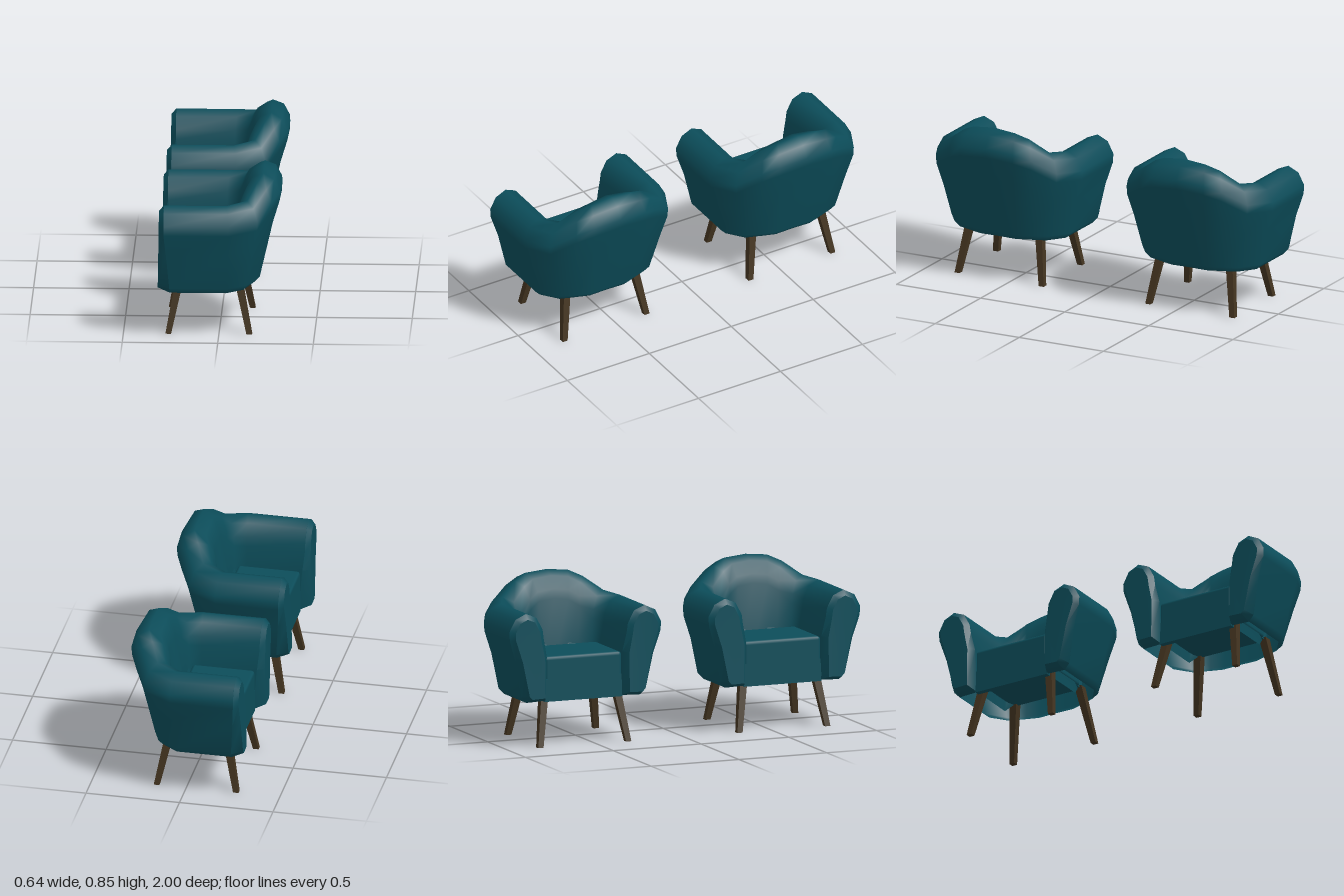
import * as THREE from 'three';
import { toCreasedNormals } from 'three/addons/utils/BufferGeometryUtils.js';
import { RoundedBoxGeometry } from 'three/addons/geometries/RoundedBoxGeometry.js';

const fabric = new THREE.MeshStandardMaterial({ color: 0x0c4d5a, side: THREE.DoubleSide });
fabric.name = 'teal fabric';
const wood = new THREE.MeshStandardMaterial({ color: 0x433420 });
wood.name = 'dark wood';

// Half of the U-shaped path: roll centre, outward direction, bottom and inner offsets, inner end height
const half = [
  { x: -0.285, z: 0.333, y: 0.62, n: [0, 1], b: 0.02, i: -0.118, end: 0.245 },
  { x: 0.04, z: 0.333, y: 0.62, n: [0.15, 0.99], b: 0.02, i: -0.118, end: 0.245 },
  { x: 0.145, z: 0.28, y: 0.634, n: [0.6, 0.8], b: 0.0, i: -0.105, end: 0.3 },
  { x: 0.192, z: 0.19, y: 0.705, n: [0.84, 0.54], b: -0.01, i: -0.13, end: 0.3 },
  { x: 0.224, z: 0.12, y: 0.738, n: [0.93, 0.37], b: -0.017, i: -0.15, end: 0.3 },
];
const middle = { x: 0.224, z: 0, y: 0.75, n: [1, 0], b: -0.017, i: -0.155, end: 0.3 };
const mirrored = half.map((s) => ({ ...s, z: -s.z, n: [s.n[0], -s.n[1]] })).reverse();
const stations = [...half, middle, ...mirrored];

// Wall section as (offset outward, height), from the outer hem over the roll to the seat
const section = (s) => [
  [s.b - 0.03, 0.241], [s.b, 0.272], [0.058, s.y - 0.16], [0.096, s.y - 0.04],
  [0.099, s.y + 0.008], [0.065, s.y + 0.072], [0.005, s.y + 0.1], [-0.055, s.y + 0.075],
  [-0.09, s.y + 0.01], [-0.097, s.y - 0.04], [s.i, 0.48], [s.i, s.end],
];

// Towards the floor the arm fronts lean forward while their seams run backward
function lean(x, y) {
  const t = THREE.MathUtils.clamp((0.59 - y) / 0.35, 0, 1);
  if (x < -0.3) return x - 0.009 * t;
  return x < -0.2 ? x + 0.03 * t : x;
}

// Loft of the wall sections along the path
function shellGeometry() {
  const positions = [], index = [];
  const count = section(middle).length;
  stations.forEach((s, k) => {
    for (const [u, y] of section(s)) {
      positions.push(lean(s.x + s.n[0] * u, y), y, s.z + s.n[1] * u);
    }
    if (k === 0) return;
    for (let j = 0; j < count - 1; j++) {
      const a = (k - 1) * count + j, b = k * count + j;
      index.push(a, b, b + 1, a, b + 1, a + 1);
    }
  });
  const g = new THREE.BufferGeometry();
  g.setAttribute('position', new THREE.Float32BufferAttribute(positions, 3));
  g.setIndex(index);
  g.computeVertexNormals();
  return g;
}

// Bevelled pad closing the front of an arm
function armEndGeometry(side) {
  const outline = section(half[0]).map(([u, y]) => new THREE.Vector2(side * (half[0].z + u), y));
  const g = new THREE.ExtrudeGeometry(new THREE.Shape(outline), {
    depth: 0.001, bevelThickness: 0.025, bevelSize: 0.025, bevelOffset: -0.025, bevelSegments: 1,
  });
  g.rotateY(-Math.PI / 2).translate(-0.284, 0, 0);
  const p = g.attributes.position;
  for (let i = 0; i < p.count; i++) p.setX(i, lean(p.getX(i), p.getY(i)));
  return toCreasedNormals(g, 0.6);
}

// Reclined panel between the seat and the roll of the back
function backPanelGeometry() {
  const g = new THREE.BoxGeometry(0.06, 0.38, 0.42);
  const p = g.attributes.position;
  for (let i = 0; i < p.count; i++) {
    const top = p.getY(i) > 0;
    p.setX(i, p.getX(i) + (top ? 0.165 : 0.07));
    if (top) p.setZ(i, p.getZ(i) * 0.75);
  }
  g.translate(0, 0.49, 0);
  g.computeVertexNormals();
  return g;
}

// Square tapered leg between a foot and a top point
function legGeometry(foot, top) {
  const g = new THREE.CylinderGeometry(0.03, 0.021, 1, 4).toNonIndexed();
  g.rotateY(Math.PI / 4);
  const p = g.attributes.position;
  for (let i = 0; i < p.count; i++) {
    const t = p.getY(i) + 0.5;
    p.setXYZ(i, p.getX(i) + foot[0] + (top[0] - foot[0]) * t, t * 0.31,
      p.getZ(i) + foot[1] + (top[1] - foot[1]) * t);
  }
  g.computeVertexNormals();
  return g;
}

function createArmchair() {
  const chair = new THREE.Group();
  const add = (name, geometry, material) => {
    const mesh = new THREE.Mesh(geometry, material);
    mesh.name = name;
    chair.add(mesh);
    return mesh;
  };
  add('wrapAroundShell', shellGeometry(), fabric);
  add('backPanel', backPanelGeometry(), fabric);
  add('seatCushion', new RoundedBoxGeometry(0.335, 0.18, 0.44, 1, 0.018), fabric).position.set(-0.0975, 0.388, 0);
  add('frontApron', new THREE.BoxGeometry(0.03, 0.12, 0.44), fabric).position.set(-0.25, 0.3, 0);
  for (const side of [1, -1]) {
    const label = side > 0 ? 'Left' : 'Right';
    add('armEnd' + label, armEndGeometry(side), fabric);
    add('frontLeg' + label, legGeometry([-0.265, side * 0.25], [-0.202, side * 0.2]), wood);
    add('backLeg' + label, legGeometry([0.159, side * 0.25], [0.095, side * 0.2]), wood);
  }
  return chair;
}

export function createModel() {
  const model = new THREE.Group();
  model.name = 'armchairPair';
  for (const side of [1, -1]) {
    const chair = createArmchair();
    chair.name = side > 0 ? 'frontArmchair' : 'backArmchair';
    chair.position.z = side * 0.567;
    model.add(chair);
  }
  return model;
}
